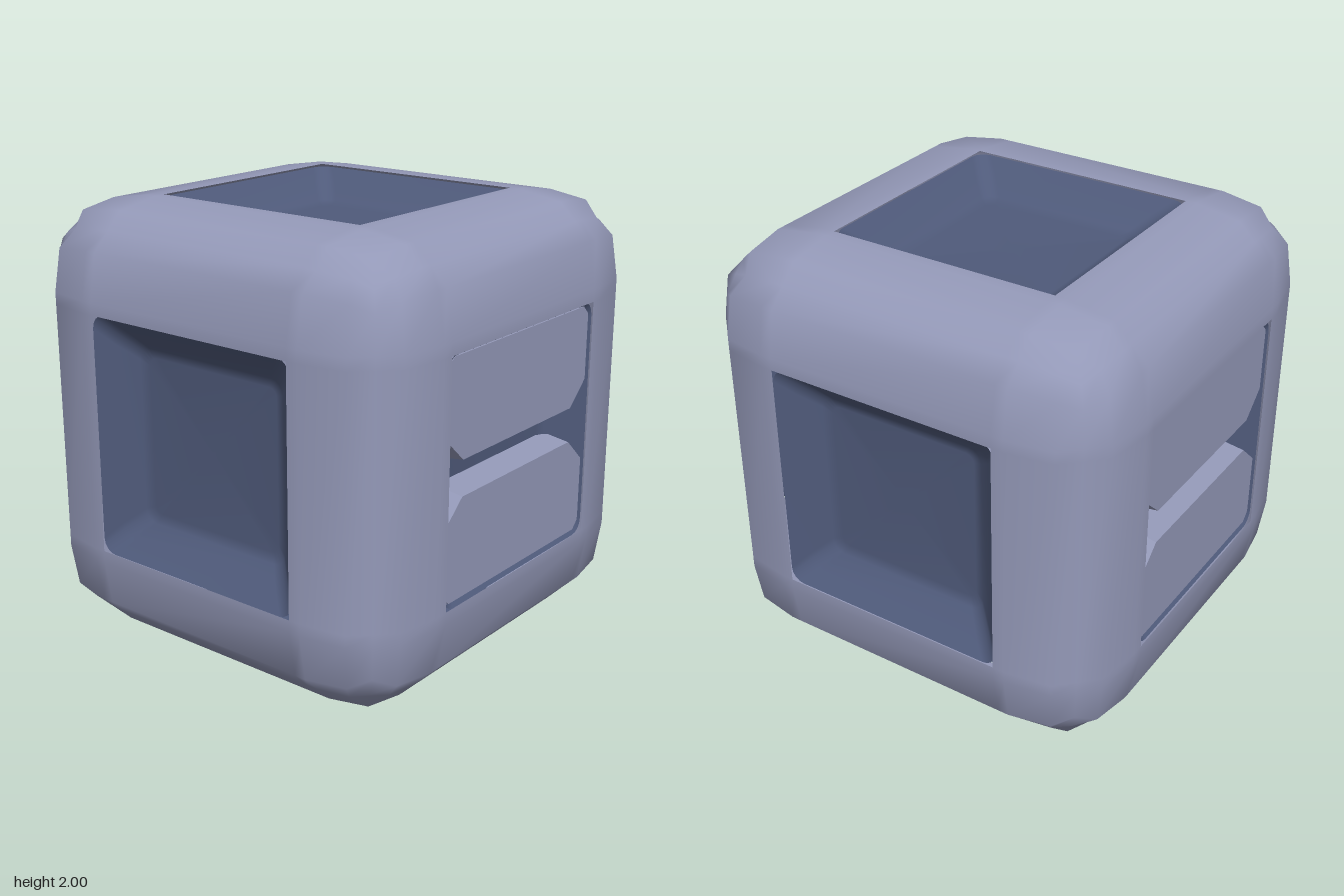
import * as THREE from 'three';
import { mergeGeometries, mergeVertices } from 'three/addons/utils/BufferGeometryUtils.js';

const CORE = 0.6;   // half size of the flat part of each side
const HOLE = 0.545; // half size of the square openings

function meshGeometry(points, index) {
  const g = new THREE.BufferGeometry();
  g.setAttribute('position', new THREE.Float32BufferAttribute(points, 3));
  g.setIndex(index);
  return g;
}

// pull a point on the unit cube onto the softly bevelled cube
function roundPoint(p) {
  const core = p.clone().clampScalar(-CORE, CORE);
  const d = p.clone().sub(core);
  const a = d.toArray().map(Math.abs);
  const n = 2.5;
  const len = Math.pow(a.reduce((s, v) => s + Math.pow(v, n), 0), 1 / n);
  const onEdge = a.filter(v => v > 0.399).length > 1;
  return core.add(d.multiplyScalar((0.4 / len) * (onEdge ? 0.949 : 1)));
}

// one side of the shell: a grid with its middle cell left open
function frameSide(rotation) {
  const t = [-1, -0.83, -CORE, -HOLE, HOLE, CORE, 0.83, 1];
  const points = [], index = [], n = t.length;
  for (const y of t) for (const x of t) {
    const p = new THREE.Vector3(x, y, 1).applyEuler(rotation);
    points.push(...roundPoint(p).toArray());
  }
  for (let j = 0; j < n - 1; j++) for (let i = 0; i < n - 1; i++) {
    if (i === 3 && j === 3) continue;
    const a = j * n + i, b = a + 1, c = a + n, d = c + 1;
    index.push(a, b, d, a, d, c);
  }
  return meshGeometry(points, index);
}

// recessed dish made from rounded square rings: [half size, corner radius, z]
function trayGeometry() {
  const rings = [[0.55, 0.065, 0.99], [0.485, 0.07, 0.93], [0.405, 0.06, 0.86], [0.36, 0.04, 0.845]];
  const steps = 4, per = 4 * (steps + 1);
  const points = [], index = [];
  for (const [h, r, z] of rings) {
    for (let k = 0; k < 4; k++) for (let s = 0; s <= steps; s++) {
      const corner = Math.PI / 4 + k * Math.PI / 2;
      const ang = (k + s / steps) * Math.PI / 2;
      points.push(Math.sign(Math.cos(corner)) * (h - r) + r * Math.cos(ang),
        Math.sign(Math.sin(corner)) * (h - r) + r * Math.sin(ang), z);
    }
  }
  const centre = points.length / 3;
  points.push(0, 0, 0.845);
  for (let i = 0; i < per; i++) {
    const j = (i + 1) % per;
    for (let r = 0; r < rings.length - 1; r++) {
      const a = r * per + i, b = r * per + j;
      index.push(a, b, b + per, a, b + per, a + per);
    }
    const last = (rings.length - 1) * per;
    index.push(last + i, last + j, centre);
  }
  const g = meshGeometry(points, index);
  g.computeVertexNormals();
  return g;
}

// upper half of the slotted cover; its slot edge slopes inwards
function plateGeometry() {
  const outline = [[-0.54, 0.19], [-0.42, 0.08], [0.42, 0.08], [0.54, 0.19],
    [0.54, 0.49], [0.5, 0.53], [-0.5, 0.53], [-0.54, 0.49]];
  const shape = new THREE.Shape(outline.map(p => new THREE.Vector2(...p)));
  const g = new THREE.ExtrudeGeometry(shape, { depth: 0.14, bevelEnabled: false });
  g.translate(0, 0, 0.84);
  const pos = g.attributes.position;
  for (let i = 0; i < pos.count; i++) {
    if (pos.getZ(i) < 0.9 && pos.getY(i) < 0.2) pos.setY(i, pos.getY(i) - 0.02);
  }
  g.computeVertexNormals();
  return g;
}

export function createModel() {
  const shellGrey = new THREE.MeshStandardMaterial({ color: 0x9499b8, side: THREE.DoubleSide });
  shellGrey.name = 'shellGrey';
  const trayBlue = new THREE.MeshStandardMaterial({ color: 0x4f5a7a, side: THREE.DoubleSide });
  trayBlue.name = 'trayBlue';

  const model = new THREE.Group();
  model.name = 'hollowCube';
  const add = (name, geometry, material, rotation) => {
    const mesh = new THREE.Mesh(geometry, material);
    mesh.name = name;
    mesh.position.y = 1;
    if (rotation) mesh.rotation.copy(rotation);
    model.add(mesh);
  };

  const q = Math.PI / 2;
  const sides = {
    front: new THREE.Euler(0, 0, 0), back: new THREE.Euler(0, 2 * q, 0),
    left: new THREE.Euler(0, q, 0), right: new THREE.Euler(0, -q, 0),
    top: new THREE.Euler(-q, 0, 0), bottom: new THREE.Euler(q, 0, 0),
  };

  // outer shell with six openings, smooth across its bevels
  const shell = mergeVertices(mergeGeometries(Object.values(sides).map(frameSide)), 1e-4);
  shell.computeVertexNormals();
  add('outerShell', shell, shellGrey);

  // a recessed tray behind every opening
  const tray = trayGeometry();
  for (const [side, rotation] of Object.entries(sides)) add(side + 'Tray', tray, trayBlue, rotation);

  // paired cover plates on the front and back
  const plate = plateGeometry();
  for (const side of ['front', 'back']) {
    const turn = sides[side].y;
    add(side + 'UpperPlate', plate, shellGrey, new THREE.Euler(0, turn, 0));
    add(side + 'LowerPlate', plate, shellGrey, new THREE.Euler(0, turn, 2 * q));
  }
  return model;
}
